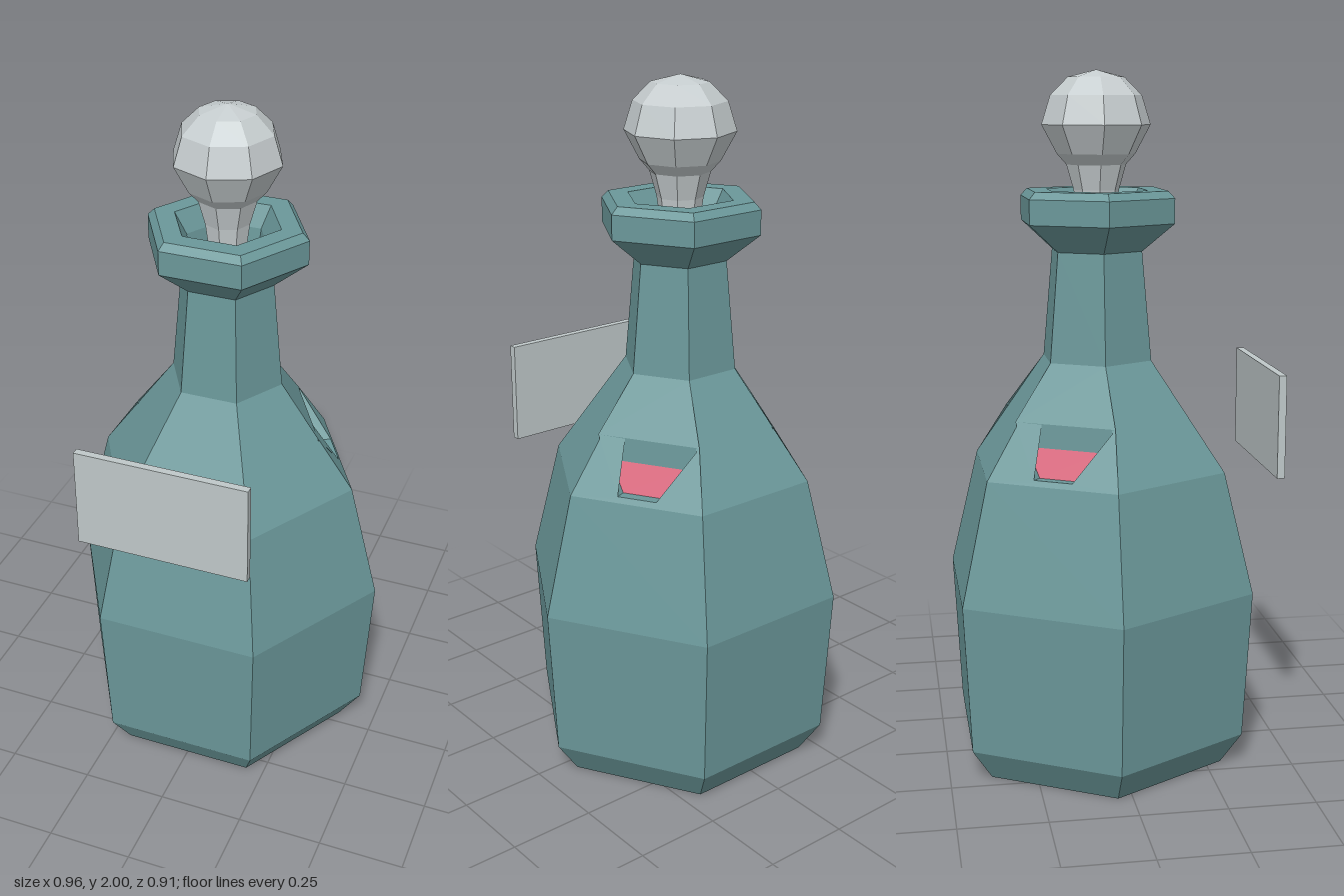
import * as THREE from 'three';

const BODY_Z = -0.042;
const SHOULDER = [{ y: 0.88, r: 0.39 }, { y: 1.19, r: 0.167 }];
const APOTHEM = Math.cos(Math.PI / 6);

// Faceted solid of revolution from [radius, y] pairs, bottom to top
function facetedLathe(profile, sides, phase) {
  const points = profile.map(([r, y]) => new THREE.Vector2(r, y));
  const geometry = new THREE.LatheGeometry(points, sides, phase).toNonIndexed();
  geometry.computeVertexNormals();
  return geometry;
}

// Flat geometry from quads, corners anticlockwise from outside
function quadGeometry(quads) {
  const positions = [];
  for (const [a, b, c, d] of quads) {
    for (const p of [a, b, c, a, c, d]) positions.push(...p);
  }
  const geometry = new THREE.BufferGeometry();
  geometry.setAttribute('position', new THREE.Float32BufferAttribute(positions, 3));
  geometry.computeVertexNormals();
  return geometry;
}

// Point on a side facing the given angle: t sideways, y up, n outward
const facePoint = (angle, t, y, n) => [
  n * Math.sin(angle) + t * Math.cos(angle),
  y,
  n * Math.cos(angle) - t * Math.sin(angle),
];

// Symmetrical trapezoid: bottom left, bottom right, top right, top left
function trapezoid(angle, low, high) {
  return [
    facePoint(angle, -low.half, low.y, low.n),
    facePoint(angle, low.half, low.y, low.n),
    facePoint(angle, high.half, high.y, high.n),
    facePoint(angle, -high.half, high.y, high.n),
  ];
}

// Four quads joining an outer outline to an inner one
function ringQuads(outer, inner) {
  return outer.map((p, i) => {
    const j = (i + 1) % 4;
    return [p, outer[j], inner[j], inner[i]];
  });
}

export function createModel() {
  const model = new THREE.Group();
  model.name = 'bottle';

  const glass = new THREE.MeshStandardMaterial({ color: 0x6b989a, side: THREE.DoubleSide });
  glass.name = 'teal glass';
  const pink = new THREE.MeshStandardMaterial({ color: 0xd45c74, side: THREE.DoubleSide });
  pink.name = 'pink';
  const silver = new THREE.MeshStandardMaterial({ color: 0xc6cdcf });
  silver.name = 'pale grey';
  const paper = new THREE.MeshStandardMaterial({ color: 0xbfc8c9 });
  paper.name = 'label grey';

  const add = (name, geometry, material, z = BODY_Z) => {
    const mesh = new THREE.Mesh(geometry, material);
    mesh.name = name;
    mesh.position.z = z;
    model.add(mesh);
    return mesh;
  };

  // Hexagonal belly
  add('belly', facetedLathe(
    [[0, 0], [0.39, 0], [0.455, 0.095], [0.48, 0.53], [0.39, 0.88]], 6, Math.PI / 6), glass);

  // Neck, flared lip and hollow mouth
  add('neckAndLip', facetedLathe([
    [0.167, 1.19], [0.138, 1.5], [0.235, 1.58], [0.235, 1.65], [0.215, 1.67],
    [0.155, 1.67], [0.12, 1.61], [0.11, 1.54], [0, 1.54],
  ], 6, Math.PI / 6), glass);

  // Sloping shoulder, with a sunken window on each of the two rear flanks
  const [low, high] = SHOULDER.map(({ y, r }) => ({ y, half: r / 2, n: r * APOTHEM }));
  const shoulder = [];
  for (let i = 0; i < 6; i++) {
    const angle = (i * Math.PI) / 3;
    const side = trapezoid(angle, low, high);
    if (i !== 2 && i !== 4) {
      shoulder.push(side);
      continue;
    }
    const opening = trapezoid(angle,
      { half: 0.057, y: 0.895, n: 0.328 }, { half: 0.15, y: 1.035, n: 0.242 });
    const pane = trapezoid(angle,
      { half: 0.055, y: 0.893, n: 0.293 }, { half: 0.112, y: 0.968, n: 0.248 });
    shoulder.push(...ringQuads(side, opening), ...ringQuads(opening, pane));
    add(i === 2 ? 'leftWindow' : 'rightWindow', quadGeometry([pane]), pink);
  }
  add('shoulder', quadGeometry(shoulder), glass);

  // Faceted ball stopper with tapering stem
  add('stopper', facetedLathe([
    [0, 1.56], [0.05, 1.56], [0.065, 1.67], [0.085, 1.74], [0.112, 1.77],
    [0.155, 1.85], [0.13, 1.93], [0.08, 1.98], [0, 2],
  ], 8, 0), silver);

  // Flat label floating in front
  const label = add('label', new THREE.BoxGeometry(0.5, 0.295, 0.022), paper, 0.446);
  label.position.y = 1.018;

  return model;
}
